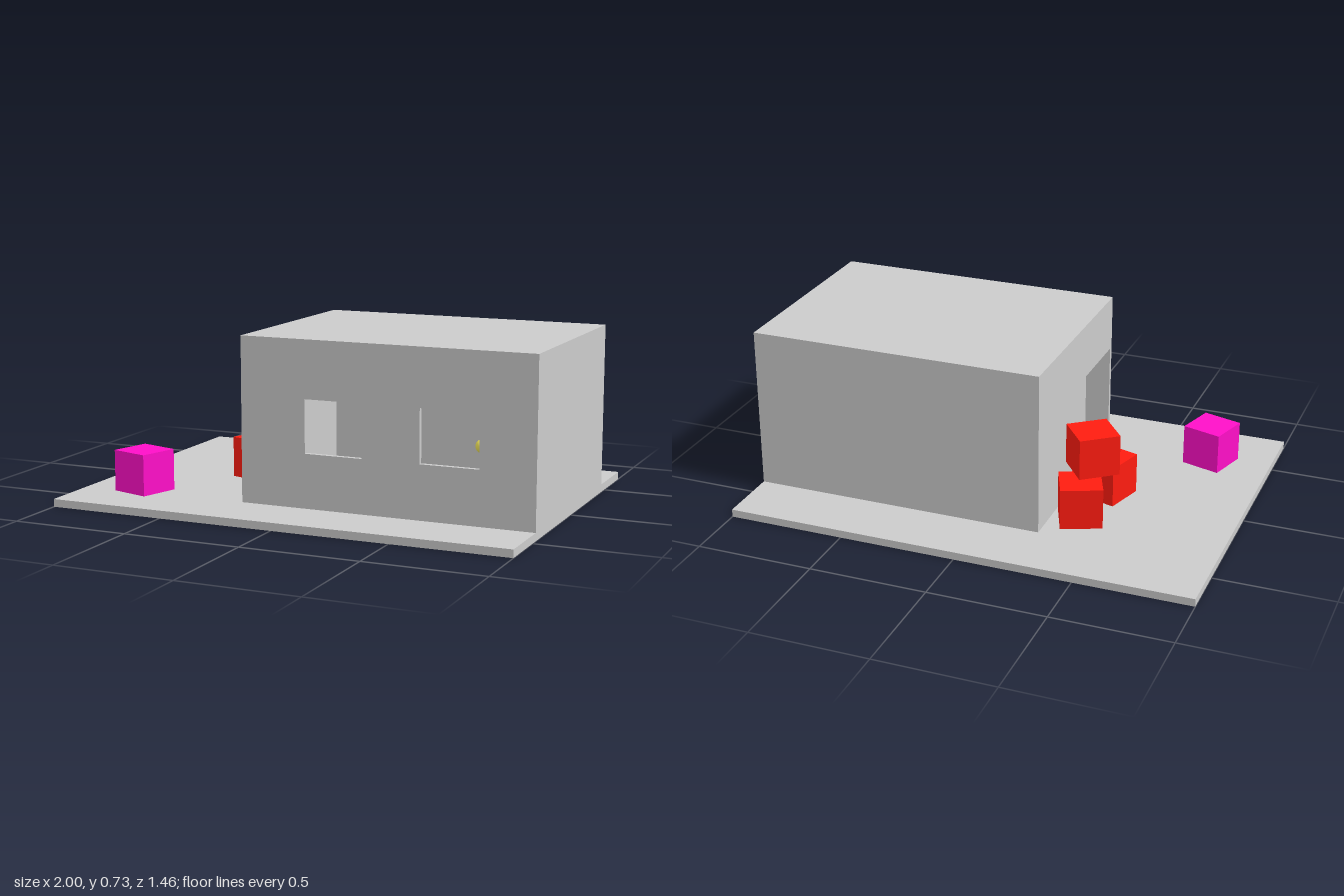
import * as THREE from 'three';

const paint = (color) => new THREE.MeshStandardMaterial({ color });
const GREY = paint(0xcccccc);
const RED = paint(0xff1c10);
const MAGENTA = paint(0xff0fc8);
const GREEN = paint(0x10d030);
const BLUE = paint(0x1020e8);
const YELLOW = paint(0xf5e85c);

const FLOOR = 0.033, TOP = 0.725, WALL = 0.02;
const X0 = -0.26, X1 = 1, Z0 = -0.455, Z1 = 0.463;
const CUBE = 0.175;

function add(parent, name, geometry, material, x = 0, y = 0, z = 0) {
  const mesh = new THREE.Mesh(geometry, material);
  mesh.name = name;
  mesh.position.set(x, y, z);
  parent.add(mesh);
  return mesh;
}

// Box given by its lower and upper corners
function boxBetween(parent, name, [ax, ay, az], [bx, by, bz]) {
  return add(parent, name, new THREE.BoxGeometry(bx - ax, by - ay, bz - az), GREY,
    (ax + bx) / 2, (ay + by) / 2, (az + bz) / 2);
}

function rectangle(Type, x0, y0, x1, y1) {
  const path = new Type();
  path.moveTo(x0, y0).lineTo(x1, y0).lineTo(x1, y1).lineTo(x0, y1).closePath();
  return path;
}

// Toy cube resting on a given height, turned about y
function toyCube(parent, name, material, x, y, z, turn) {
  const cube = add(parent, name, new THREE.BoxGeometry(CUBE, CUBE, CUBE), material, x, y + CUBE / 2, z);
  cube.rotation.y = turn;
}

function createHouse() {
  const house = new THREE.Group();
  house.name = 'house';
  const ceiling = TOP - WALL;

  // Front wall with two windows
  const front = rectangle(THREE.Shape, X0, FLOOR, X1, ceiling);
  for (const x of [0.025, 0.52]) {
    front.holes.push(rectangle(THREE.Path, x, 0.26, x + 0.248, 0.483));
  }
  add(house, 'frontWall', new THREE.ExtrudeGeometry(front, { depth: WALL, bevelEnabled: false }),
    GREY, 0, 0, Z1 - WALL);

  // Side wall with a doorway; the outline's x runs along world z
  const za = Z0 + WALL, zb = Z1 - WALL;
  const side = new THREE.Shape();
  side.moveTo(-za, FLOOR).lineTo(-za, ceiling).lineTo(-zb, ceiling).lineTo(-zb, 0.49)
    .lineTo(-0.12, 0.49).lineTo(-0.12, FLOOR).closePath();
  const doorWall = add(house, 'doorWall',
    new THREE.ExtrudeGeometry(side, { depth: WALL, bevelEnabled: false }), GREY, X0);
  doorWall.rotation.y = Math.PI / 2;

  // Closed walls and roof
  boxBetween(house, 'backWall', [X0, FLOOR, Z0], [X1, ceiling, Z0 + WALL]);
  boxBetween(house, 'endWall', [X1 - WALL, FLOOR, za], [X1, ceiling, zb]);
  boxBetween(house, 'roof', [X0, ceiling, Z0], [X1, TOP, Z1]);
  return house;
}

// Rounded yellow toy sitting on the floor inside
function createSoftToy() {
  const toy = new THREE.Group();
  toy.name = 'softToy';
  const ball = (name, r, x, y, z) =>
    add(toy, name, new THREE.SphereGeometry(r, 20, 14), YELLOW, x, y, z);
  ball('body', 0.08, 0, 0.08, 0);
  ball('head', 0.075, 0, 0.22, 0);
  ball('snout', 0.03, 0.02, 0.24, 0.07);
  for (const s of [-1, 1]) {
    ball('paw', 0.03, s * 0.09, 0.225, 0.02);
    ball('foot', 0.035, s * 0.06, 0.035, 0.08);
  }
  toy.position.set(0.715, FLOOR, 0);
  return toy;
}

export function createModel() {
  const model = new THREE.Group();
  model.name = 'playhouse';

  boxBetween(model, 'groundSlab', [-1, 0, -0.73], [1, FLOOR, 0.73]);
  model.add(createHouse());

  // Cubes outside
  toyCube(model, 'magentaCube', MAGENTA, -0.74, FLOOR, 0.43, -0.29);
  toyCube(model, 'redCubeFront', RED, -0.413, FLOOR, -0.025, -0.29);
  toyCube(model, 'redCubeBack', RED, -0.38, FLOOR, -0.283, 0.39);
  toyCube(model, 'redCubeTop', RED, -0.388, FLOOR + CUBE, -0.155, 0.66);

  // Toys inside
  toyCube(model, 'greenCube', GREEN, 0.29, FLOOR, 0.22, -0.51);
  toyCube(model, 'blueCube', BLUE, 0.725, FLOOR, 0.32, 0.09);
  model.add(createSoftToy());
  return model;
}
